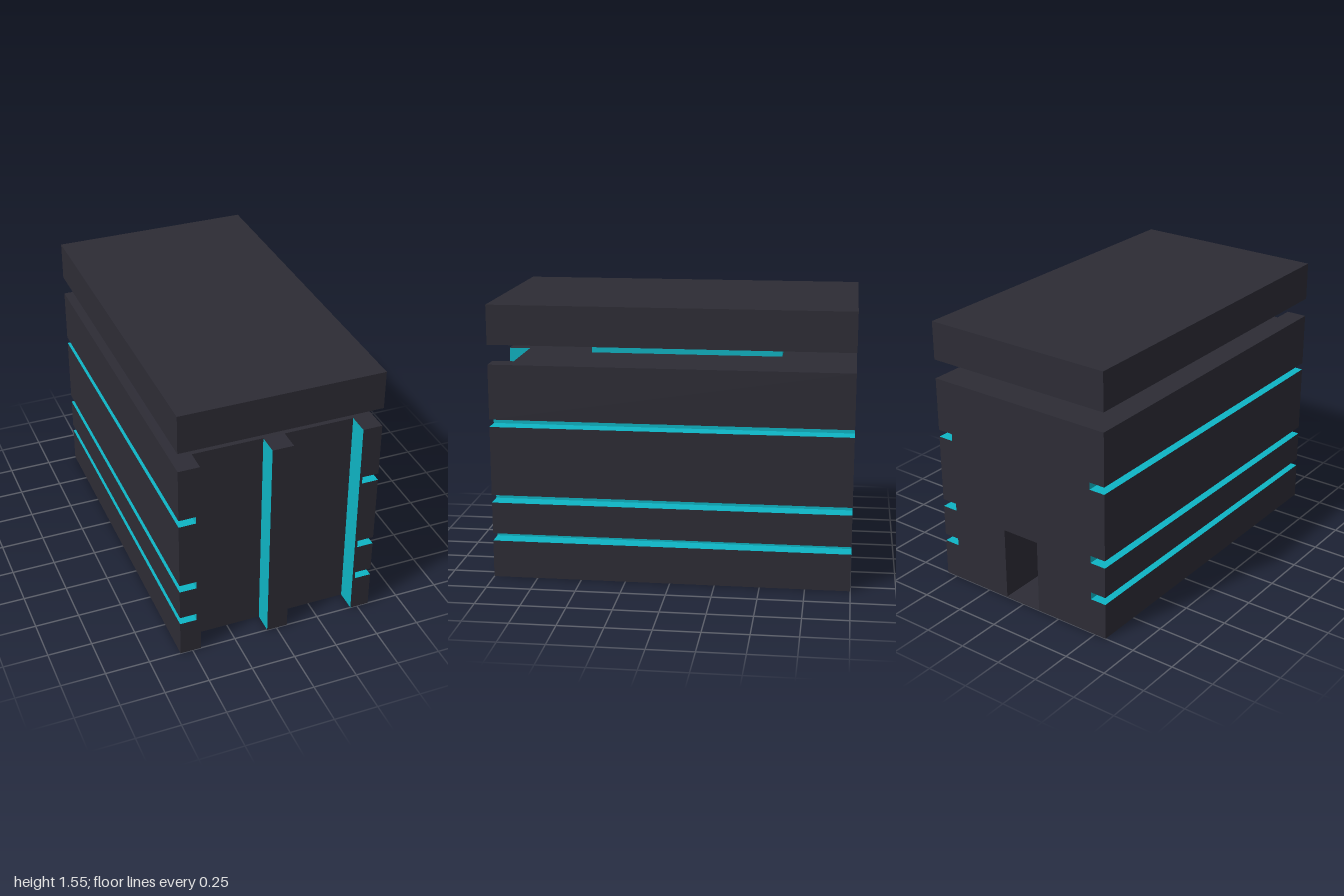
import * as THREE from 'three';

const charcoal = new THREE.MeshStandardMaterial({ color: 0x2d2c35 });
charcoal.name = 'charcoal';
const teal = new THREE.MeshStandardMaterial({ color: 0x0eb4c4 });
teal.name = 'teal';

// Box from its limits; tealFaces lists faces (0..5 = +x -x +y -y +z -z) coloured teal
function block(name, [x0, x1], [y0, y1], [z0, z1], tealFaces = []) {
  const geometry = new THREE.BoxGeometry(x1 - x0, y1 - y0, z1 - z0);
  const materials = [0, 1, 2, 3, 4, 5].map((i) => (tealFaces.includes(i) ? teal : charcoal));
  const mesh = new THREE.Mesh(geometry, tealFaces.length ? materials : charcoal);
  mesh.position.set((x0 + x1) / 2, (y0 + y1) / 2, (z0 + z1) / 2);
  mesh.name = name;
  return mesh;
}

export function createModel() {
  const model = new THREE.Group();
  model.name = 'building';

  const W = 0.57, inner = 0.475, H = 1.22;
  const recessZ = 0.88;                       // back of the front recesses
  const door = { x0: -0.11, x1: 0.12, top: 0.43, z: -0.5, floor: 0.004 };
  const full = [0, H];

  // Core of the body; its sides show as the teal bottoms of the grooves
  model.add(block('bodyCore', [-inner, inner], full, [door.z, recessZ], [0, 1]));

  // Back part of the body around the doorway
  const backZ = [-1, door.z];
  model.add(
    block('backWallLeft', [door.x1, inner], full, backZ, [0]),
    block('backWallRight', [-inner, door.x0], full, backZ, [1]),
    block('doorLintel', [door.x0, door.x1], [door.top, H], backZ),
    block('doorFloor', [door.x0, door.x1], [0, door.floor], backZ)
  );

  // Side slabs, separated by three grooves with teal faces
  const levels = [[0, 0.212], [0.255, 0.435], [0.479, 0.87], [0.912, H]];
  for (const side of [-1, 1]) {
    const group = new THREE.Group();
    group.name = side > 0 ? 'sideSlabsLeft' : 'sideSlabsRight';
    const xs = side > 0 ? [inner, W] : [-W, -inner];
    levels.forEach((ys, i) => {
      const faces = [];
      if (i < levels.length - 1) faces.push(2);
      if (i > 0) faces.push(3);
      group.add(block('sideSlab', xs, ys, [-1, 1], faces));
    });
    model.add(group);
  }

  // Front pillars with teal flanks
  const frontZ = [recessZ, 1];
  model.add(
    block('frontPillarRight', [-inner, -0.45], full, frontZ, [0, 1]),
    block('frontPillarMiddle', [-0.055, 0.065], full, frontZ, [0, 1]),
    block('frontPillarLeft', [0.46, inner], full, frontZ, [0, 1])
  );

  // Teal neck carrying the roof slab
  model.add(
    block('roofNeck', [-0.235, 0.147], [H, 1.33], [-0.585, 0.5], [0, 1, 2, 3, 4, 5]),
    block('roofSlab', [-W, W], [1.33, 1.55], [-1, 1])
  );

  return model;
}
